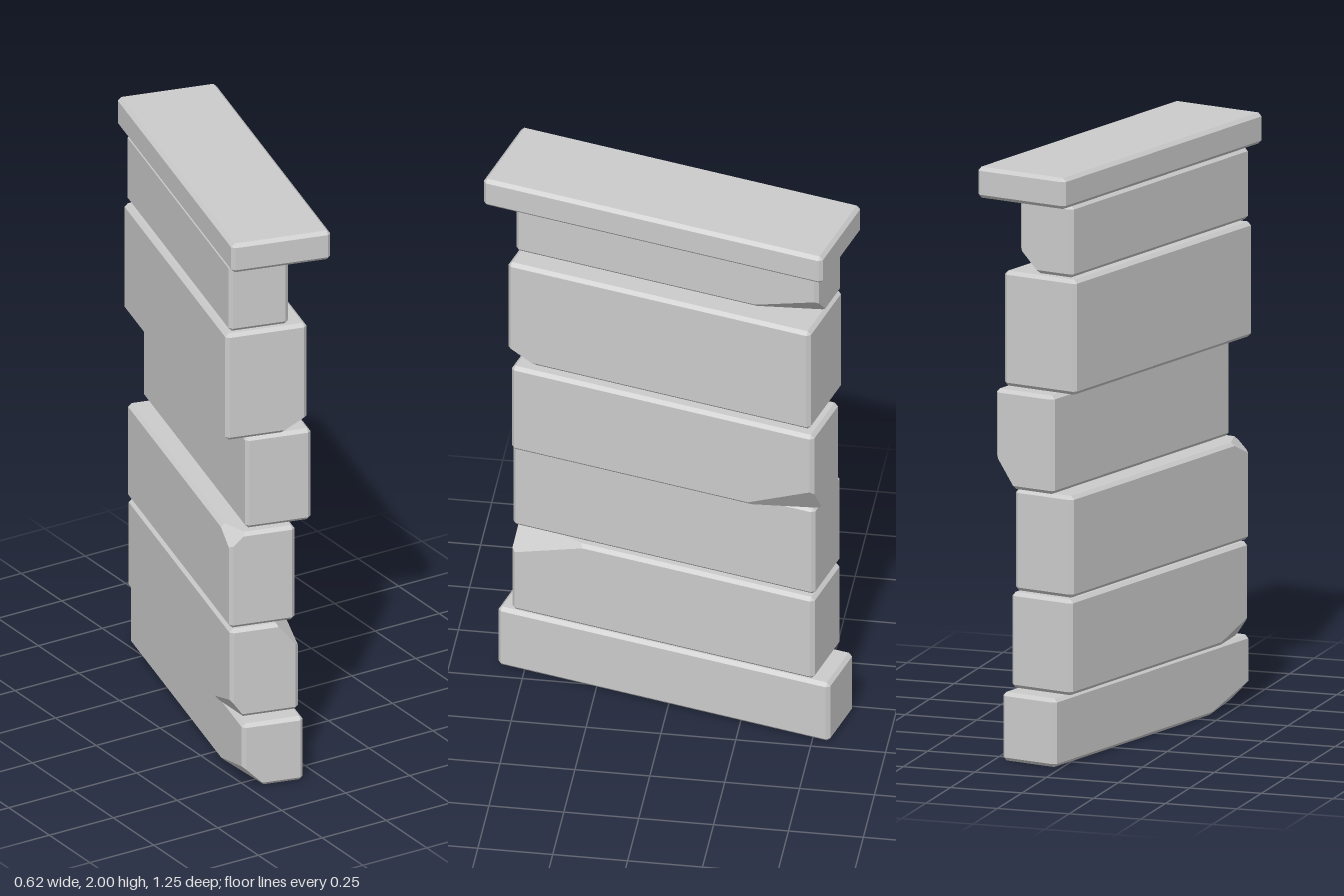
import * as THREE from 'three';
import { ConvexGeometry } from 'three/addons/geometries/ConvexGeometry.js';

const YAW = -0.245;
const BEVEL = 0.012;

// Box with bevelled edges and chipped corners.
// A chip is { at: corner signs, cut: distances along x, y, z from that corner }.
function stoneGeometry(size, chips) {
  const half = size.map((s) => s / 2);

  // three vertices per corner, one on each adjoining face
  const verts = [];
  for (const sx of [-1, 1]) for (const sy of [-1, 1]) for (const sz of [-1, 1]) {
    const signs = [sx, sy, sz];
    for (let face = 0; face < 3; face++) {
      const p = signs.map((s, i) => s * (half[i] - (i === face ? 0 : BEVEL)));
      verts.push({ signs, face, p: new THREE.Vector3(...p) });
    }
  }

  // negative where a point lies in the chipped-off corner
  const side = (chip, p) => p.toArray().reduce(
    (sum, v, i) => sum + (half[i] - chip.at[i] * v) / chip.cut[i], -1);

  const isEdge = (a, b) => {
    const diff = [0, 1, 2].filter((i) => a.signs[i] !== b.signs[i]);
    if (diff.length === 0) return true;
    return diff.length === 1 && a.face === b.face && diff[0] !== a.face;
  };

  // keep the vertices outside every chip, add the points where edges are cut
  const points = verts.filter((v) => chips.every((c) => side(c, v.p) >= 0)).map((v) => v.p);
  verts.forEach((a, i) => verts.slice(i + 1).forEach((b) => {
    if (!isEdge(a, b)) return;
    for (const chip of chips) {
      const fa = side(chip, a.p), fb = side(chip, b.p);
      if (fa * fb < 0) points.push(a.p.clone().lerp(b.p, fa / (fa - fb)));
    }
  }));
  return new ConvexGeometry(points);
}

// Stones from bottom to top: y range, width, length, centre x and z, chips
const STONES = [
  { name: 'baseStone', y: [0, 0.232], w: 0.212, l: 1.185, x: -0.023, z: -0.008,
    chips: [{ at: [-1, -1, 1], cut: [0.08, 0.08, 0.27] }] },
  { name: 'stone1', y: [0.236, 0.56], w: 0.238, l: 1.08, x: -0.037, z: -0.008,
    chips: [{ at: [1, 1, 1], cut: [0.08, 0.095, 0.29] },
      { at: [-1, -1, 1], cut: [0.05, 0.07, 0.2] }] },
  { name: 'stone2', y: [0.566, 0.91], w: 0.228, l: 1.08, x: -0.045, z: -0.008,
    chips: [{ at: [-1, 1, 1], cut: [0.06, 0.055, 0.12] }] },
  { name: 'stone3', y: [0.913, 1.246], w: 0.228, l: 1.08, x: 0.021, z: -0.013,
    chips: [{ at: [1, -1, -1], cut: [0.08, 0.115, 0.26] }] },
  { name: 'stone4', y: [1.254, 1.643], w: 0.283, l: 1.08, x: -0.03, z: -0.005,
    chips: [{ at: [1, -1, 1], cut: [0.1, 0.055, 0.11] }] },
  { name: 'stone5', y: [1.65, 1.893], w: 0.208, l: 1.08, x: -0.055, z: -0.013,
    chips: [{ at: [1, -1, -1], cut: [0.08, 0.08, 0.26] }] },
  { name: 'capStone', y: [1.895, 2], w: 0.345, l: 1.212, x: 0, z: 0, chips: [] },
];

export function createModel() {
  const model = new THREE.Group();
  model.name = 'stonePillar';
  const material = new THREE.MeshStandardMaterial({ color: 0xcccccc, flatShading: true });

  for (const s of STONES) {
    const height = s.y[1] - s.y[0];
    const stone = new THREE.Mesh(stoneGeometry([s.w, height, s.l], s.chips), material);
    stone.name = s.name;
    stone.position.set(s.x, s.y[0] + height / 2, s.z);
    stone.rotation.y = YAW;
    model.add(stone);
  }
  return model;
}
